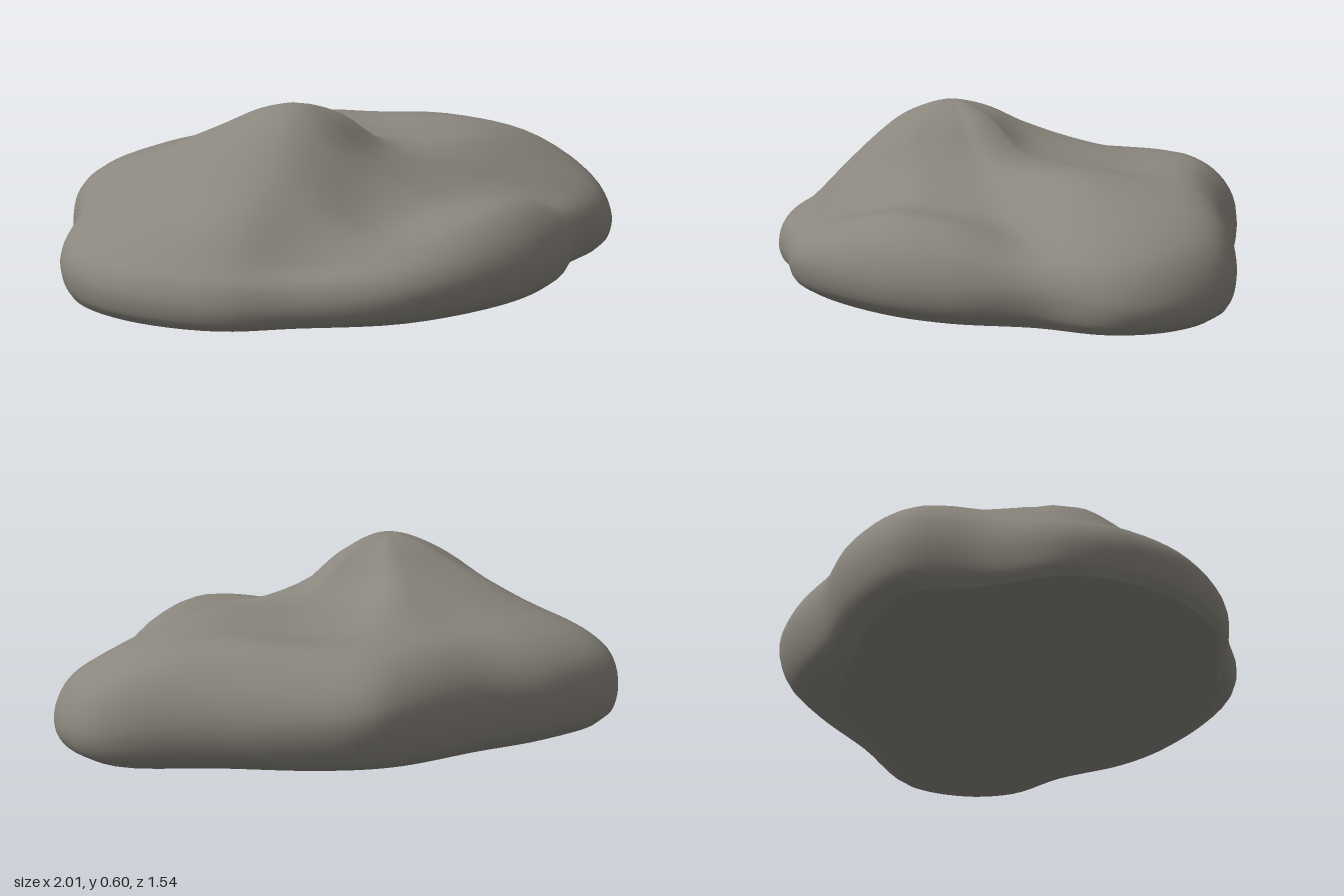
import * as THREE from 'three';
import { mergeVertices } from 'three/addons/utils/BufferGeometryUtils.js';

// Summit of the boulder, from which every cross-section runs outward
const SUMMIT = new THREE.Vector3(-0.23, 0.595, 0.1);

// One row per cross-section, going round from the left side to the front:
// rim x, rim z, rim height, base scale, heights at 85%, 60% and 30% of the way out
const SECTIONS = [
  [1.0, -0.02, 0.1, 0.95, 0.31, 0.41, 0.425],
  [0.94, 0.16, 0.1, 0.95, 0.27, 0.355, 0.42],
  [0.74, 0.31, 0.12, 0.95, 0.24, 0.31, 0.42],
  [0.57, 0.53, 0.12, 0.93, 0.295, 0.31, 0.42],
  [0.36, 0.68, 0.13, 0.9, 0.305, 0.315, 0.435],
  [-0.05, 0.765, 0.12, 0.88, 0.23, 0.28, 0.49],
  [-0.42, 0.645, 0.08, 0.93, 0.19, 0.375, 0.535],
  [-0.66, 0.57, 0.08, 0.95, 0.2, 0.36, 0.53],
  [-0.88, 0.39, 0.1, 0.95, 0.21, 0.32, 0.52],
  [-0.99, 0.17, 0.11, 0.96, 0.22, 0.315, 0.505],
  [-0.995, -0.02, 0.12, 0.96, 0.23, 0.33, 0.505],
  [-0.89, -0.24, 0.14, 0.95, 0.285, 0.38, 0.51],
  [-0.82, -0.49, 0.15, 0.92, 0.32, 0.395, 0.51],
  [-0.55, -0.62, 0.19, 0.88, 0.35, 0.41, 0.51],
  [-0.25, -0.67, 0.2, 0.85, 0.37, 0.415, 0.515],
  [0.05, -0.755, 0.22, 0.8, 0.39, 0.42, 0.505],
  [0.22, -0.765, 0.22, 0.78, 0.395, 0.415, 0.485],
  [0.42, -0.65, 0.2, 0.82, 0.395, 0.395, 0.455],
  [0.68, -0.45, 0.18, 0.87, 0.405, 0.395, 0.44],
  [0.95, -0.25, 0.13, 0.93, 0.36, 0.42, 0.43],
];

const AROUND = 100;
const OUTWARD = 40;

// Closed curve joining all sections at one level
function ring(scaleAndHeight) {
  const points = SECTIONS.map((s) => {
    const [t, y] = scaleAndHeight(s);
    return new THREE.Vector3(
      SUMMIT.x + t * (s[0] - SUMMIT.x), y, SUMMIT.z + t * (s[1] - SUMMIT.z));
  });
  return new THREE.CatmullRomCurve3(points, true);
}

function makeGeometry(positions, indices) {
  const g = new THREE.BufferGeometry();
  g.setAttribute('position', new THREE.Float32BufferAttribute(positions, 3));
  g.setIndex(indices);
  const welded = mergeVertices(g, 1e-5);
  welded.computeVertexNormals();
  return welded;
}

export function createModel() {
  const stone = new THREE.MeshStandardMaterial({ color: 0x8a867d });
  stone.name = 'warm grey stone';

  // Levels from the rounded summit over the shoulder and rim down to the base
  const rings = [
    ring((s) => [0.05, SUMMIT.y - (SUMMIT.y - s[6]) * 0.03]),
    ring((s) => [0.15, SUMMIT.y - (SUMMIT.y - s[6]) * 0.3]),
    ring((s) => [0.3, s[6]]),
    ring((s) => [0.6, s[5]]),
    ring((s) => [0.85, s[4]]),
    ring((s) => [0.96, s[2] + (s[4] - s[2]) * 0.57]),
    ring((s) => [1, s[2]]),
    ring((s) => [0.27 * s[3] + 0.73, s[2] * 0.33]),
    ring((s) => [s[3], 0]),
  ];

  const skin = [], skinFaces = [];
  const floor = [SUMMIT.x, 0, SUMMIT.z], floorFaces = [];
  for (let i = 0; i < AROUND; i++) {
    const u = i / AROUND;
    const profile = new THREE.CatmullRomCurve3(
      [SUMMIT, ...rings.map((r) => r.getPoint(u))]);
    const next = (i + 1) % AROUND;
    for (let j = 0; j <= OUTWARD; j++) {
      const p = profile.getPoint(j / OUTWARD);
      skin.push(p.x, Math.max(0, p.y), p.z);
      if (j === OUTWARD) {
        floor.push(p.x, 0, p.z);
        floorFaces.push(0, i + 1, next + 1);
        continue;
      }
      const a = i * (OUTWARD + 1) + j;
      const b = next * (OUTWARD + 1) + j;
      if (j > 0) skinFaces.push(a, b, a + 1);
      skinFaces.push(b, b + 1, a + 1);
    }
  }

  // Rounded upper surface and flat underside
  const boulder = new THREE.Mesh(makeGeometry(skin, skinFaces), stone);
  boulder.name = 'boulder';
  const underside = new THREE.Mesh(makeGeometry(floor, floorFaces), stone);
  underside.name = 'underside';

  const model = new THREE.Group();
  model.name = 'rock';
  model.add(boulder, underside);
  return model;
}
